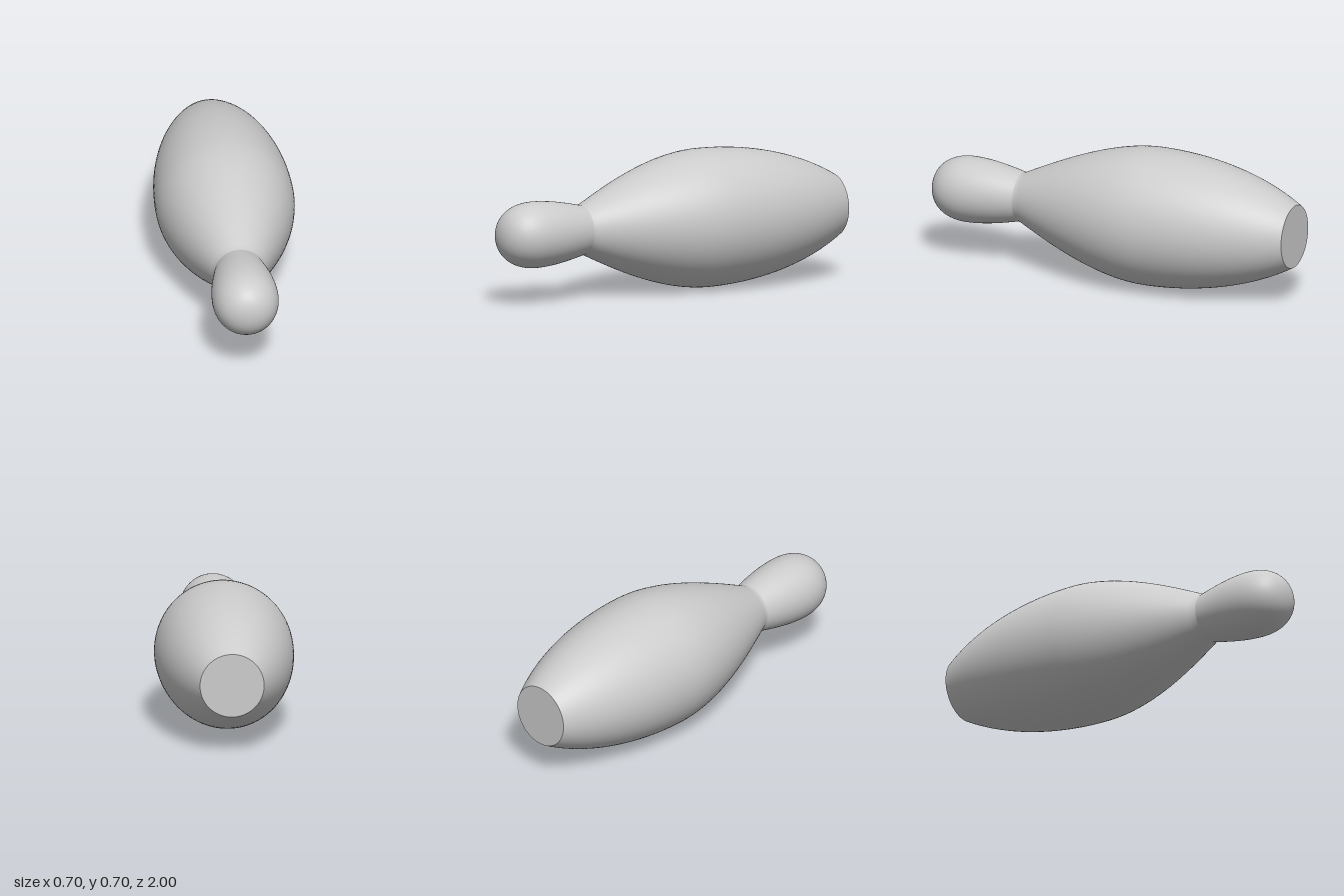
import * as THREE from 'three';

const SEGMENTS = 96;
const RADIUS = 0.352;
const BASE_RADIUS = 0.162;

// Half outline: x is the radius, y runs from the flat base to the rounded tip
function outline() {
  const knots = [
    [BASE_RADIUS, -1, 0.29, -0.78, RADIUS, -0.5, RADIUS, -0.22], // lower belly
    [RADIUS, -0.22, RADIUS, 0.04, 0.21, 0.33, 0.125, 0.51],      // shoulder to neck
    [0.125, 0.51, 0.14, 0.58, 0.168, 0.69, 0.168, 0.8],          // neck to head
    [0.168, 0.8, 0.168, 0.92, 0.11, 1, 0, 1],                    // rounded tip
  ];
  const points = [];
  knots.forEach((k, i) => {
    const [a, b, c, d] = [0, 2, 4, 6].map((j) => new THREE.Vector2(k[j], k[j + 1]));
    const part = new THREE.CubicBezierCurve(a, b, c, d).getPoints(20);
    points.push(...(i ? part.slice(1) : part));
  });
  return points;
}

export function createModel() {
  const group = new THREE.Group();
  group.name = 'bowlingPin';
  const material = new THREE.MeshStandardMaterial({ color: 0xcccccc });

  // Turned body, laid on its side with the head towards +z
  const body = new THREE.Mesh(new THREE.LatheGeometry(outline(), SEGMENTS), material);
  body.name = 'pinBody';
  body.rotation.x = Math.PI / 2;
  body.position.y = RADIUS;
  group.add(body);

  // Flat base disc facing -z
  const base = new THREE.Mesh(new THREE.CircleGeometry(BASE_RADIUS, SEGMENTS), material);
  base.name = 'pinBase';
  base.rotation.y = Math.PI;
  base.position.set(0, RADIUS, -1);
  group.add(base);

  return group;
}
